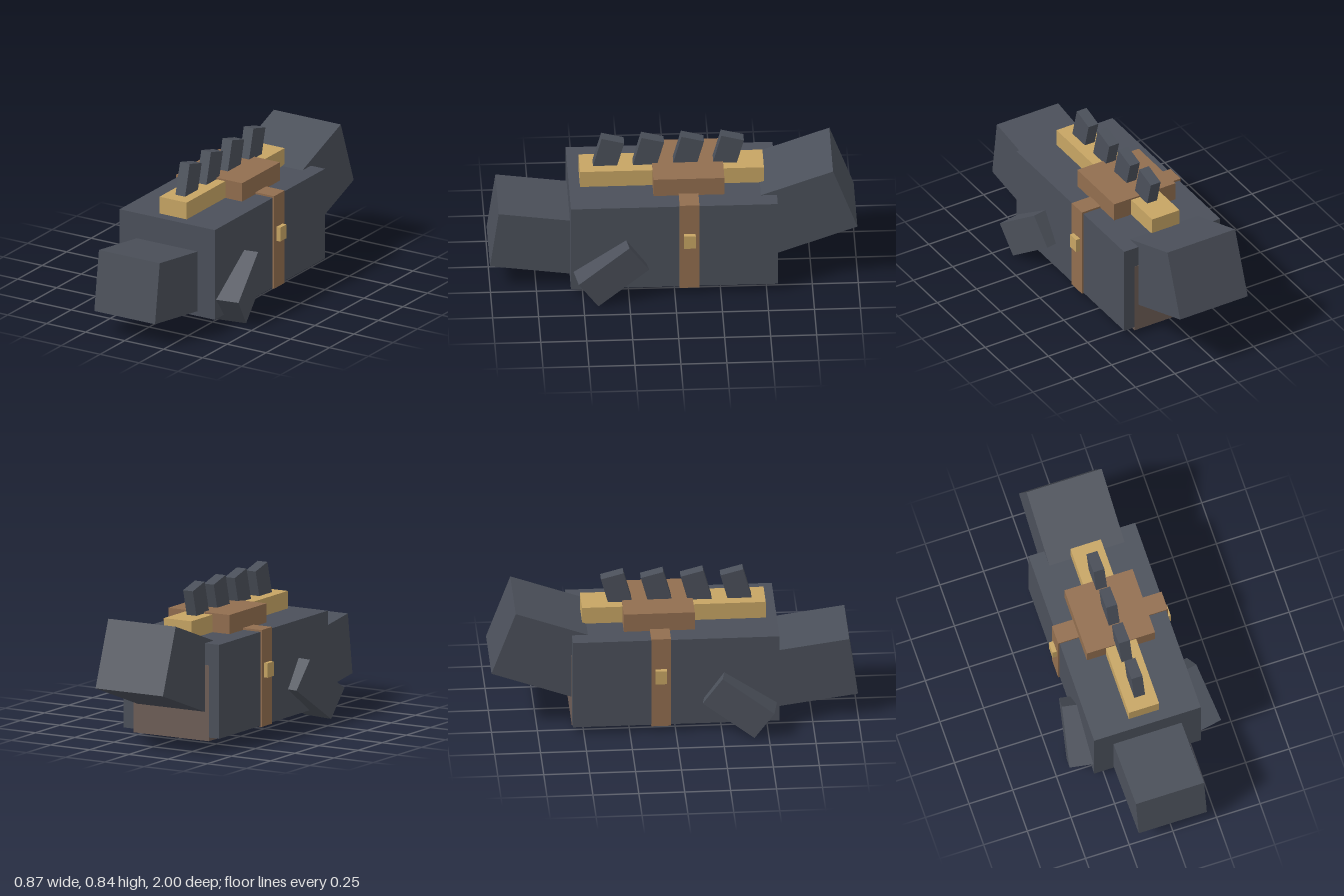
import * as THREE from 'three';

const deg = THREE.MathUtils.degToRad;

function material(name, color) {
  const m = new THREE.MeshStandardMaterial({ color });
  m.name = name;
  return m;
}

export function createModel() {
  const model = new THREE.Group();
  model.name = 'saddledCreature';

  const hide = material('slateHide', 0x4b505a);
  const leather = material('brownLeather', 0x926e4f);
  const gold = material('goldCloth', 0xc7a564);
  const underside = material('bellyBrown', 0x6e5e57);

  // Box from size and centre, turned about y after being pitched about x
  function box(name, mat, size, centre, pitch = 0, yaw = 0) {
    const mesh = new THREE.Mesh(new THREE.BoxGeometry(...size), mat);
    mesh.name = name;
    mesh.position.set(...centre);
    mesh.rotation.set(deg(pitch), deg(yaw), 0, 'YXZ');
    model.add(mesh);
    return mesh;
  }

  // Tilted block hung from the middle of its outer end face (dir: +1 front, -1 back)
  function endBlock(name, [w, h, len], endY, endZ, pitch, dir) {
    const a = deg(pitch);
    const y = endY + dir * Math.sin(a) * len / 2;
    const z = endZ - dir * Math.cos(a) * len / 2;
    box(name, hide, [w, h, len], [0, y, z], pitch);
  }

  // Trunk, belly, head and tail
  box('body', hide, [0.61, 0.52, 1.125], [0, 0.31, 0.0025]);
  box('belly', underside, [0.48, 0.42, 1.042], [0, 0.24, -0.041]);
  endBlock('head', [0.39, 0.342, 0.55], 0.309, 0.976, -8, 1);
  endBlock('tail', [0.43, 0.387, 0.6], 0.531, -0.931, 20, -1);

  // Saddle blanket, seat and girth strap
  box('blanket', gold, [0.174, 0.1, 1], [0, 0.617, 0.005]);
  box('seat', leather, [0.39, 0.11, 0.386], [0, 0.621, -0.082]);
  box('strap', leather, [0.628, 0.536, 0.107], [0, 0.313, -0.08]);

  // Row of back spines leaning rearward
  for (let i = 0; i < 4; i++) {
    box('spine' + (i + 1), hide, [0.062, 0.25, 0.127], [0, 0.705, 0.356 - i * 0.217], -15);
  }

  // Paired flippers and strap buckles
  for (const [side, s] of [['left', 1], ['right', -1]]) {
    box(side + 'Flipper', hide, [0.193, 0.19, 0.345], [s * 0.305, 0.183, 0.352], 35, s * 10);
    box(side + 'Buckle', gold, [0.04, 0.08, 0.063], [s * 0.319, 0.356, -0.081]);
  }

  return model;
}
